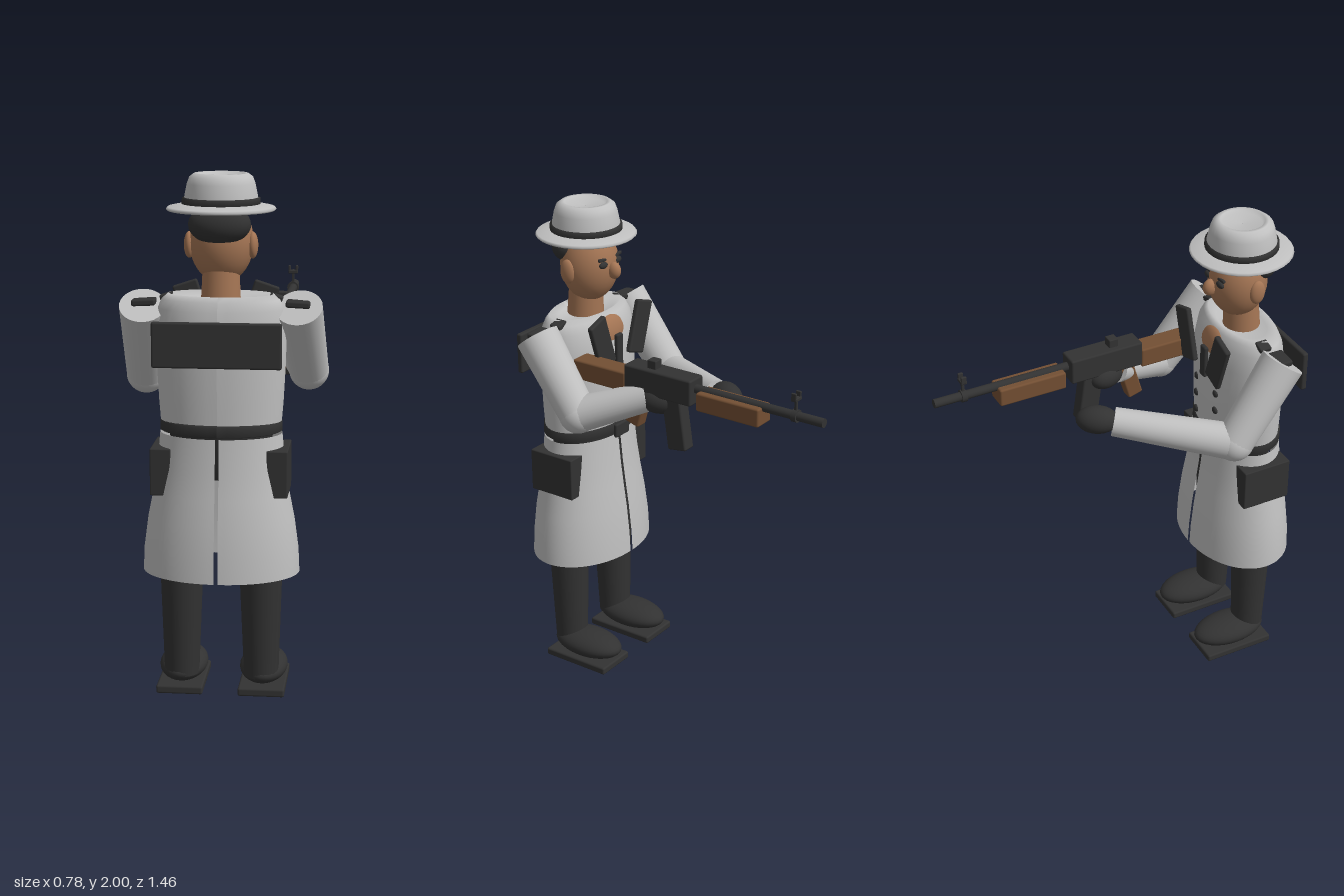
import * as THREE from 'three';
import { RoundedBoxGeometry } from 'three/addons/geometries/RoundedBoxGeometry.js';

const mat = (name, color) => {
  const m = new THREE.MeshStandardMaterial({ color });
  m.name = name;
  return m;
};

// Elliptical loft through rows of [y, radiusX, radiusZ, centreZ], bottom to top
function loft(rows, t0 = 0, t1 = Math.PI * 2, n = 40) {
  const pos = [], idx = [];
  for (const [y, rx, rz, cz] of rows) {
    for (let j = 0; j <= n; j++) {
      const t = t0 + (t1 - t0) * j / n;
      pos.push(rx * Math.sin(t), y, cz + rz * Math.cos(t));
    }
  }
  for (let i = 0; i < rows.length - 1; i++) {
    for (let j = 0; j < n; j++) {
      const a = i * (n + 1) + j, d = a + n + 1;
      idx.push(a, a + 1, d + 1, a, d + 1, d);
    }
  }
  const g = new THREE.BufferGeometry();
  g.setAttribute('position', new THREE.Float32BufferAttribute(pos, 3));
  g.setIndex(idx);
  g.computeVertexNormals();
  return g;
}

export function createModel() {
  const coat = mat('coatGrey', 0xc0c0c0);
  coat.side = THREE.DoubleSide;
  const dark = mat('charcoal', 0x323232);
  const skin = mat('skin', 0xa47554);
  const wood = mat('wood', 0x734f33);

  const model = new THREE.Group();
  const body = new THREE.Group();
  body.name = 'figure';
  body.position.x = -0.004;
  const gun = new THREE.Group();
  gun.name = 'rifle';
  gun.position.x = 0.187;
  model.add(body, gun);

  const add = (parent, name, geo, m, p = [0, 0, 0], r = [0, 0, 0]) => {
    const mesh = new THREE.Mesh(geo, m);
    mesh.name = name;
    mesh.position.set(...p);
    mesh.rotation.set(...r);
    parent.add(mesh);
    return mesh;
  };
  const box = (w, h, d, r = 0.008) => new RoundedBoxGeometry(w, h, d, 2, r);
  const ball = (parent, name, m, p, s, r) => {
    const mesh = add(parent, name, new THREE.SphereGeometry(1, 28, 18), m, p, r);
    mesh.scale.set(...s);
    return mesh;
  };
  // Tapered limb from a to b
  const limb = (name, m, a, b, ra, rb) => {
    const va = new THREE.Vector3(...a), vb = new THREE.Vector3(...b);
    const dir = vb.clone().sub(va);
    const mesh = add(body, name, new THREE.CylinderGeometry(rb, ra, dir.length(), 28), m);
    mesh.position.copy(va).add(vb).multiplyScalar(0.5);
    mesh.quaternion.setFromUnitVectors(new THREE.Vector3(0, 1, 0), dir.normalize());
    return mesh;
  };

  // Coat body with a dished shoulder top
  add(body, 'coatTorso', loft([
    [1.04, 0.226, 0.148, 0.516], [1.15, 0.235, 0.153, 0.515], [1.3, 0.243, 0.155, 0.515],
    [1.42, 0.245, 0.152, 0.515], [1.5, 0.238, 0.135, 0.518], [1.535, 0.222, 0.117, 0.521],
    [1.555, 0.198, 0.103, 0.522], [1.535, 0.14, 0.085, 0.522], [1.525, 0.001, 0.001, 0.522],
  ]), coat);

  // Split coat skirt: two open half shells
  for (const s of [1, -1]) {
    const start = s > 0 ? 0 : Math.PI;
    add(body, 'coatSkirt', loft([
      [0.49, 0.292, 0.211, 0.518], [0.58, 0.288, 0.207, 0.518], [0.7, 0.272, 0.195, 0.518],
      [0.8, 0.252, 0.18, 0.517], [0.9, 0.237, 0.166, 0.516], [1.03, 0.224, 0.154, 0.516],
    ], start, start + Math.PI), coat, [s * 0.007, 0, 0]);
  }
  add(body, 'hips', loft([
    [0.86, 0.13, 0.09, 0.52], [0.92, 0.17, 0.11, 0.52], [1.04, 0.2, 0.13, 0.52],
  ]), dark);

  // Belt and buckle
  add(body, 'belt', loft([
    [1.035, 0.22, 0.148, 0.517], [1.04, 0.231, 0.159, 0.517],
    [1.075, 0.231, 0.159, 0.517], [1.082, 0.22, 0.148, 0.517],
  ]), dark);
  add(body, 'buckle', box(0.09, 0.06, 0.018), dark, [0, 1.052, 0.349]);

  // Back panel and chest details
  add(body, 'backPanel', box(0.48, 0.17, 0.025), dark, [0, 1.385, 0.681]);
  ball(body, 'openCollar', skin, [0, 1.475, 0.4], [0.085, 0.065, 0.03], [0.2, 0, 0]);
  add(body, 'tie', box(0.04, 0.14, 0.02), dark, [0, 1.4, 0.355]);

  for (const s of [1, -1]) {
    add(body, 'lapel', box(0.1, 0.22, 0.024), dark, [s * 0.125, 1.465, 0.344], [0, 0, -s * 0.32]);
    for (const y of [1.12, 1.2, 1.28]) {
      ball(body, 'button', dark, [s * 0.075, y, 0.369], [0.016, 0.016, 0.01]);
    }
    add(body, 'pocketFlap', box(0.08, 0.18, 0.21, 0.005), dark, [s * 0.219, 0.89, 0.52]);
    add(body, 'epaulette', box(0.09, 0.025, 0.09), dark, [s * 0.288, 1.52, 0.515], [0, 0, -s * 0.05]);
    add(body, 'shoulderTab', box(0.05, 0.02, 0.05, 0.005), dark, [s * 0.205, 1.54, 0.5], [0, 0, -s * 0.3]);

    // Legs and shoes
    limb('leg', dark, [s * 0.154, 0.07, 0.52], [s * 0.15, 0.92, 0.53], 0.067, 0.098);
    ball(body, 'shoe', dark, [s * 0.157, 0.078, 0.428], [0.093, 0.056, 0.163]);
    add(body, 'sole', box(0.18, 0.032, 0.31), dark, [s * 0.158, 0.016, 0.435]);

    // Ears, eyes
    ball(body, 'ear', skin, [s * 0.118, 1.735, 0.515], [0.02, 0.05, 0.033]);
    ball(body, 'eye', dark, [s * 0.045, 1.765, 0.39], [0.024, 0.014, 0.012]);
    add(body, 'eyebrow', box(0.055, 0.013, 0.012, 0.004), dark, [s * 0.046, 1.786, 0.392], [0, 0, s * 0.12]);
  }

  // Arms: shoulder, elbow, wrist and hand
  const arms = [
    { sh: [0.292, 1.508, 0.538], el: [0.318, 1.235, 0.322], wr: [0.2, 1.335, 0.06], ha: [0.19, 1.33, 0.012] },
    { sh: [-0.292, 1.508, 0.538], el: [-0.312, 1.21, 0.322], wr: [-0.065, 1.285, -0.085], ha: [-0.042, 1.3, -0.145] },
  ];
  for (const { sh, el, wr, ha } of arms) {
    limb('upperArm', coat, sh, el, 0.088, 0.076);
    ball(body, 'elbow', coat, el, [0.077, 0.077, 0.077]);
    limb('forearm', coat, el, wr, 0.074, 0.058);
    const hand = ball(body, 'hand', dark, ha, [0.058, 0.056, 0.085]);
    hand.rotation.y = Math.atan2(wr[0] - el[0], wr[2] - el[2]);
  }

  // Head
  limb('neck', skin, [0, 1.52, 0.522], [0, 1.66, 0.515], 0.075, 0.068);
  ball(body, 'head', skin, [0, 1.745, 0.495], [0.12, 0.155, 0.118]);
  ball(body, 'nose', skin, [0, 1.735, 0.372], [0.024, 0.035, 0.03]);
  ball(body, 'hair', dark, [0, 1.815, 0.565], [0.116, 0.075, 0.08], [0.25, 0, 0]);

  // Hat
  const lathe = (pts) => new THREE.LatheGeometry(pts.map(([x, y]) => new THREE.Vector2(x, y)), 32);
  add(body, 'hatBrim', lathe([
    [0.001, 1.868], [0.13, 1.868], [0.198, 1.862], [0.204, 1.868], [0.198, 1.876], [0.14, 1.888], [0.1, 1.888],
  ]), coat, [0, 0, 0.508]);
  add(body, 'hatBand', lathe([
    [0.13, 1.878], [0.146, 1.882], [0.145, 1.908], [0.13, 1.912],
  ]), dark, [0, 0, 0.508]);
  add(body, 'hatCrown', lathe([
    [0.138, 1.88], [0.137, 1.91], [0.127, 1.96], [0.118, 1.985], [0.1, 1.998], [0.086, 1.998], [0.076, 1.985], [0.001, 1.98],
  ]), coat, [0, 0, 0.508]);

  // Rifle metal
  add(gun, 'receiver', box(0.09, 0.106, 0.315), dark, [0, 1.407, -0.002]);
  add(gun, 'barrel', new THREE.CylinderGeometry(0.018, 0.018, 0.6, 20), dark, [0, 1.417, -0.43], [Math.PI / 2, 0, 0]);
  add(gun, 'rearSight', box(0.042, 0.04, 0.04, 0.004), dark, [0, 1.474, 0.038]);
  add(gun, 'frontSightRing', new THREE.CylinderGeometry(0.025, 0.025, 0.022, 20), dark, [0, 1.417, -0.607], [Math.PI / 2, 0, 0]);
  add(gun, 'frontSightPost', box(0.012, 0.07, 0.012, 0.003), dark, [0, 1.46, -0.607]);
  add(gun, 'frontSightBlade', box(0.04, 0.014, 0.025, 0.003), dark, [0, 1.485, -0.607]);
  for (const s of [1, -1]) {
    add(gun, 'frontSightEar', box(0.01, 0.03, 0.022, 0.003), dark, [s * 0.016, 1.497, -0.607]);
  }
  add(gun, 'magazine', box(0.06, 0.22, 0.085), dark, [0, 1.255, -0.07], [0.14, 0, 0]);

  // Rifle wood
  add(gun, 'handguard', box(0.09, 0.075, 0.285), wood, [0, 1.383, -0.327]);
  add(gun, 'stock', box(0.088, 0.082, 0.255), wood, [0, 1.382, 0.28]);
  add(gun, 'grip', box(0.055, 0.17, 0.065), wood, [0, 1.285, 0.112], [-0.28, 0, 0]);

  return model;
}
